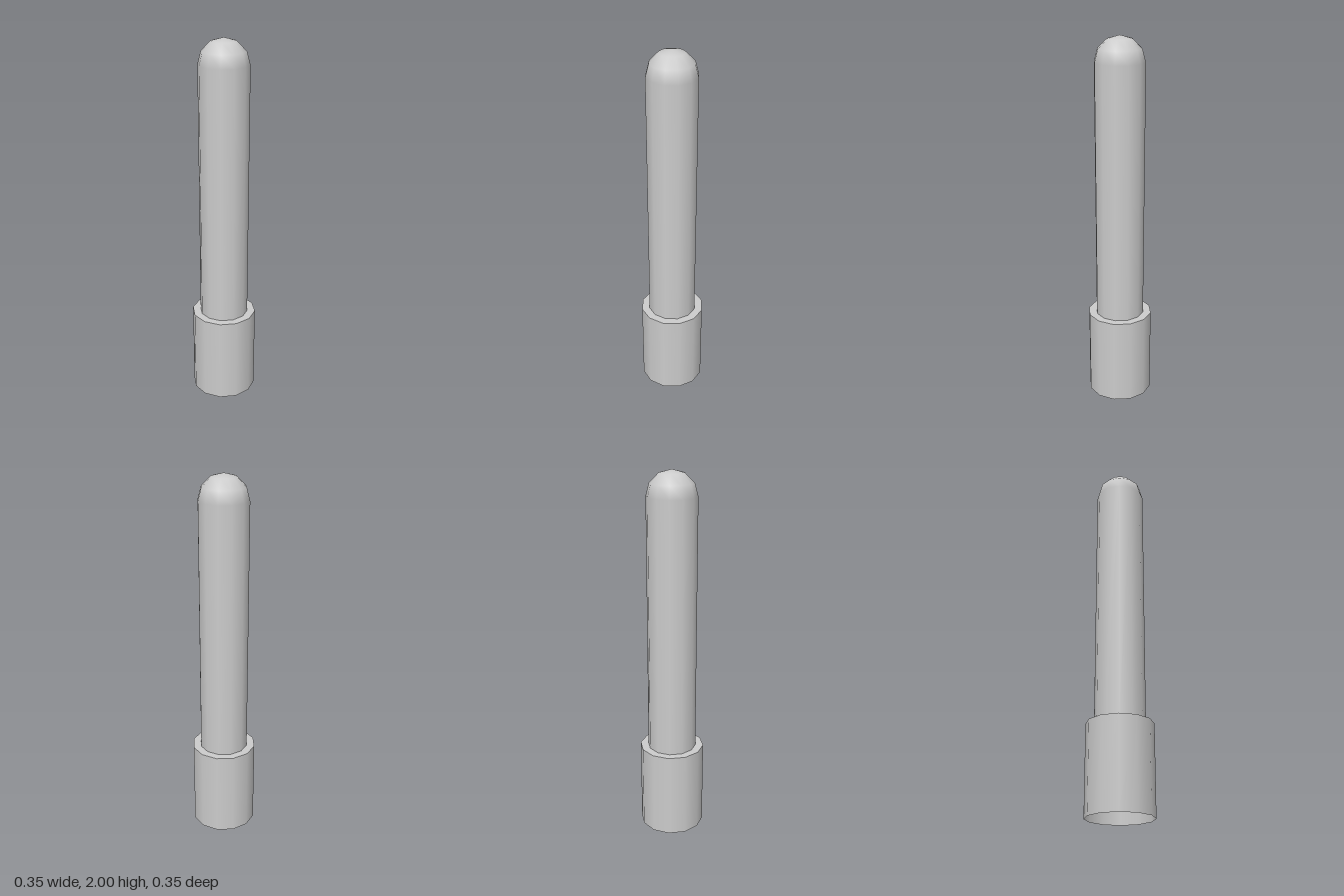
import * as THREE from 'three';

const SIDES = 12;
const ROD_R = 0.133;
const SLEEVE_R = 0.177;
const SLEEVE_H = 0.48;
const TOP = 2;

export function createModel() {
  const group = new THREE.Group();
  const material = new THREE.MeshStandardMaterial({ color: 0xcccccc, side: THREE.DoubleSide });

  const add = (name, geometry, y) => {
    const mesh = new THREE.Mesh(geometry, material);
    mesh.name = name;
    mesh.position.y = y;
    group.add(mesh);
  };

  // Wide sleeve at the foot, open underneath
  add('sleeve', new THREE.CylinderGeometry(SLEEVE_R, SLEEVE_R, SLEEVE_H, SIDES, 1, true), SLEEVE_H / 2);

  // Flat ledge between sleeve and rod
  add('ledge', new THREE.RingGeometry(ROD_R, SLEEVE_R, SIDES).rotateX(-Math.PI / 2), SLEEVE_H);

  // Straight rod
  const rodTop = TOP - ROD_R;
  const rodH = rodTop - SLEEVE_H;
  add('rod', new THREE.CylinderGeometry(ROD_R, ROD_R, rodH, SIDES, 1, true), SLEEVE_H + rodH / 2);

  // Rounded tip
  add('roundedTip', new THREE.SphereGeometry(ROD_R, SIDES, 3, 0, Math.PI * 2, 0, Math.PI / 2), rodTop);

  return group;
}
